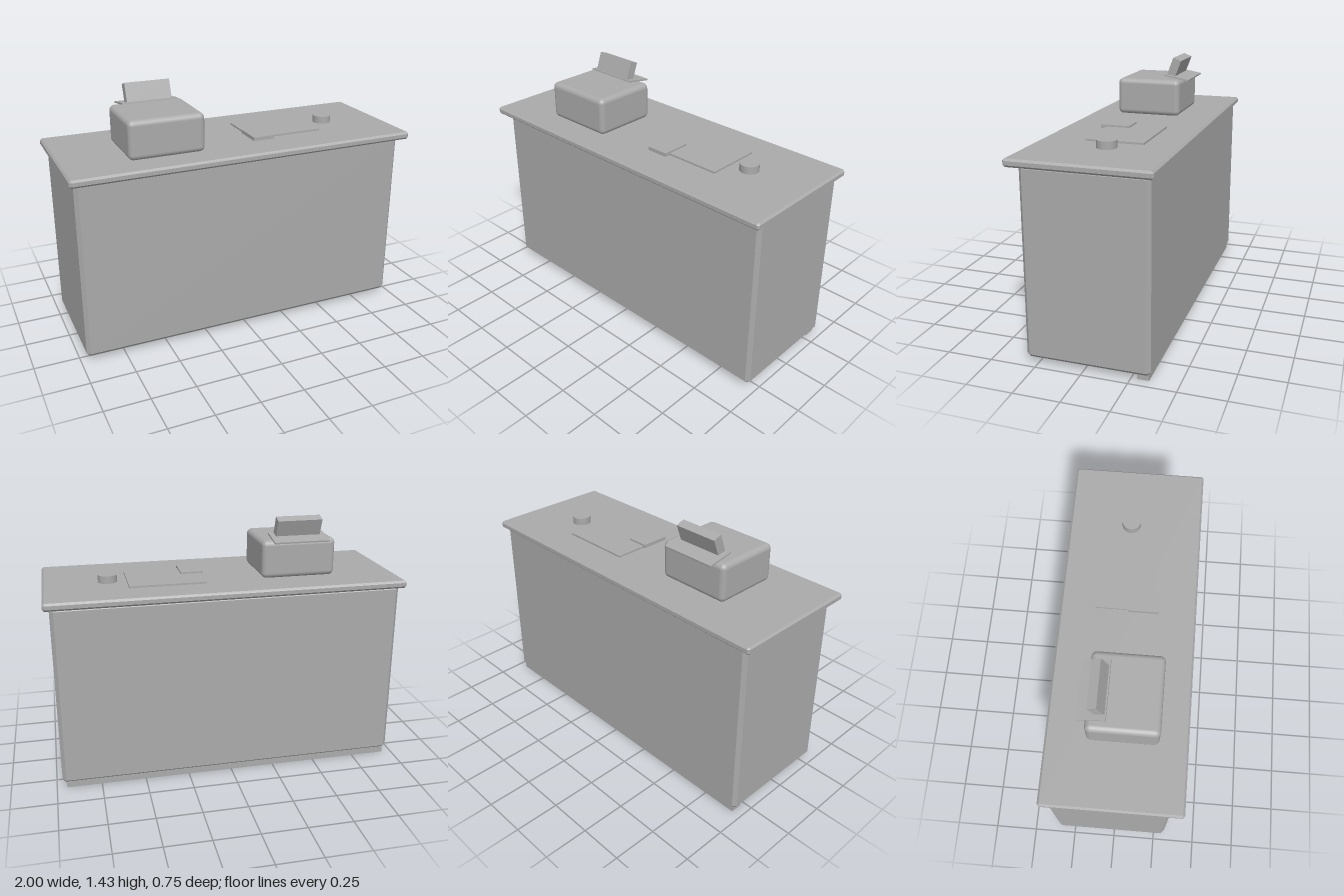
import * as THREE from 'three';
import { ConvexGeometry } from 'three/addons/geometries/ConvexGeometry.js';
import { RoundedBoxGeometry } from 'three/addons/geometries/RoundedBoxGeometry.js';

const grey = new THREE.MeshStandardMaterial({ color: 0xaaaaaa });
grey.name = 'grey';

// Box with every edge cut by a flat chamfer of width c
function chamferedBox(w, h, d, c) {
  const points = [];
  for (const x of [-1, 1]) for (const y of [-1, 1]) for (const z of [-1, 1]) {
    const [X, Y, Z] = [x * w / 2, y * h / 2, z * d / 2];
    points.push(
      new THREE.Vector3(X, Y - y * c, Z - z * c),
      new THREE.Vector3(X - x * c, Y, Z - z * c),
      new THREE.Vector3(X - x * c, Y - y * c, Z));
  }
  return new ConvexGeometry(points);
}

export function createModel() {
  const model = new THREE.Group();
  model.name = 'shopCounter';

  const add = (name, geometry, x, y, z, tilt = 0) => {
    const mesh = new THREE.Mesh(geometry, grey);
    mesh.name = name;
    mesh.position.set(x, y, z);
    mesh.rotation.x = THREE.MathUtils.degToRad(tilt);
    model.add(mesh);
  };

  // Counter: cabinet, worktop and the foot strip along the back
  add('cabinet', chamferedBox(1.934, 1.03, 0.668, 0.02), 0, 0.543, -0.02);
  add('worktop', chamferedBox(2, 0.043, 0.754, 0.011), 0, 1.069, 0);
  add('footStrip', new THREE.BoxGeometry(1.89, 0.05, 0.064), 0, 0.025, -0.312);

  // Cash register: rounded body, tilted plate and display
  add('registerBody', new RoundedBoxGeometry(0.428, 0.217, 0.384, 3, 0.03), -0.432, 1.196, 0.03);
  add('displayPlate', new THREE.BoxGeometry(0.32, 0.009, 0.152), -0.435, 1.313, -0.13, -10);
  add('display', new THREE.BoxGeometry(0.258, 0.107, 0.052), -0.435, 1.37, -0.107, -20.5);

  // Things lying on the worktop
  add('counterMat', new THREE.BoxGeometry(0.43, 0.014, 0.32), 0.32, 1.094, -0.025);
  add('cardPad', new THREE.BoxGeometry(0.126, 0.026, 0.168), 0.158, 1.098, 0.084);
  add('smallDish', new THREE.CylinderGeometry(0.053, 0.053, 0.046, 32), 0.64, 1.11, -0.023);

  return model;
}
